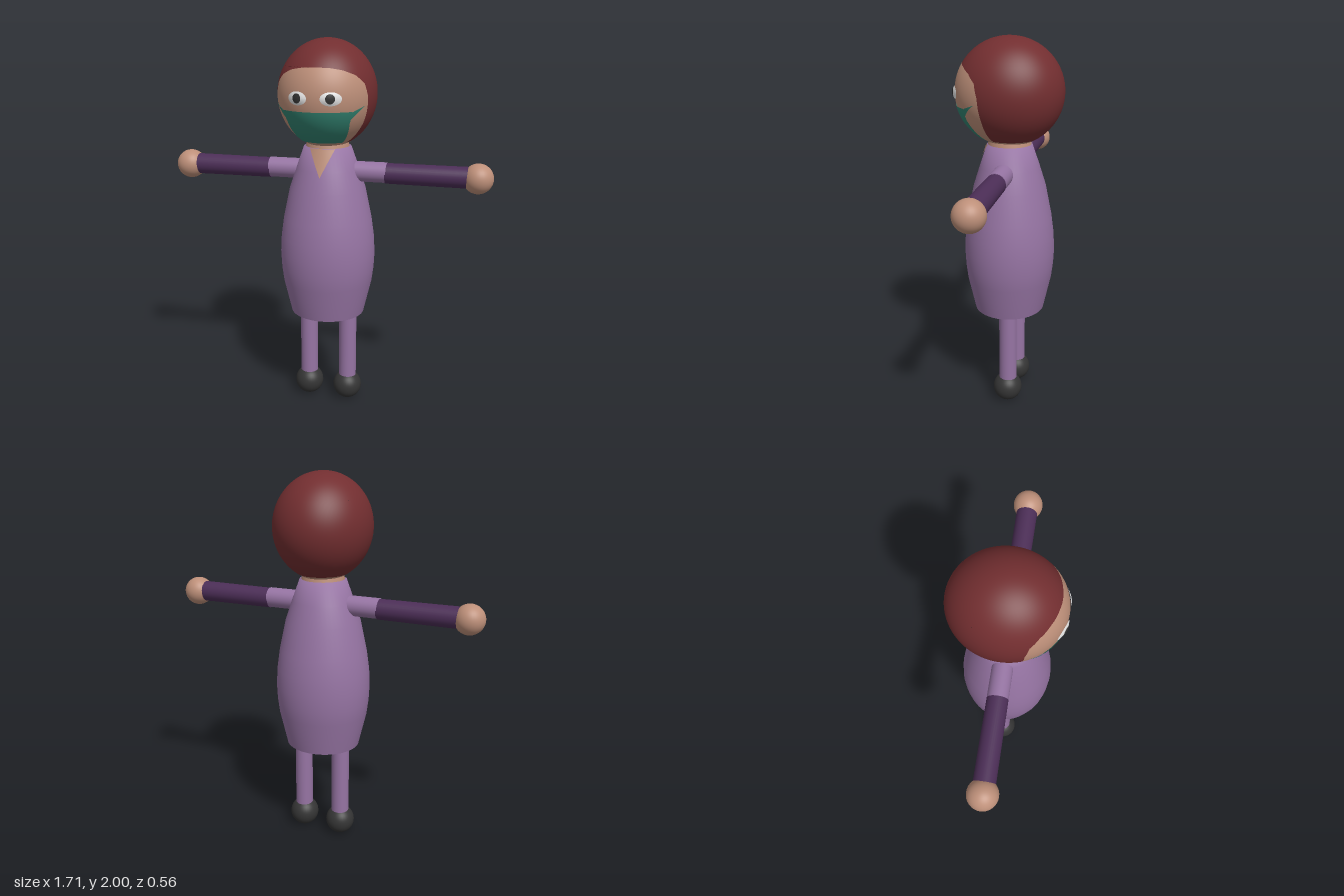
import * as THREE from 'three';

const mat = (name, color, side = THREE.FrontSide) => {
  const m = new THREE.MeshStandardMaterial({ color, side });
  m.name = name;
  return m;
};

// Head ellipsoid: centre height and radii
const HY = 1.725, RX = 0.253, RY = 0.275, RZ = 0.28;

// Linear interpolation in a list of [key, value] pairs with falling keys
function lookup(table, y) {
  for (let i = 1; i < table.length; i++) {
    const [y0, v0] = table[i - 1], [y1, v1] = table[i];
    if (y >= y1) return v0 + (v1 - v0) * Math.min(1, Math.max(0, (y0 - y) / (y0 - y1)));
  }
  return table[table.length - 1][1];
}

// Piece of the head between two heights and two azimuths (0 = front, + = left)
function headPatch(yTop, yBottom, from, to, rows, cols, scale = 1) {
  const pos = [], nor = [], idx = [];
  const t0 = Math.acos(Math.min(1, (yTop - HY) / RY));
  const t1 = Math.acos(Math.max(-1, (yBottom - HY) / RY));
  for (let i = 0; i <= rows; i++) {
    const t = t0 + (t1 - t0) * (i / rows) ** 1.5;
    const y = HY + RY * Math.cos(t), s = Math.sin(t);
    for (let j = 0; j <= cols; j++) {
      const a = from(y) + (to(y) - from(y)) * j / cols;
      const n = new THREE.Vector3(s * Math.sin(a) / RX, Math.cos(t) / RY, s * Math.cos(a) / RZ).normalize();
      pos.push(RX * s * Math.sin(a) * scale, HY + (y - HY) * scale, RZ * s * Math.cos(a) * scale);
      nor.push(n.x, n.y, n.z);
      if (i < rows && j < cols) {
        const p = i * (cols + 1) + j, q = p + cols + 1;
        idx.push(p, q, p + 1, q, q + 1, p + 1);
      }
    }
  }
  const g = new THREE.BufferGeometry();
  g.setAttribute('position', new THREE.Float32BufferAttribute(pos, 3));
  g.setAttribute('normal', new THREE.Float32BufferAttribute(nor, 3));
  g.setIndex(idx);
  return g;
}

// Slightly bulging oval laid on the front of the head
function eyePatch(cx, cy, rx, ry, lift, bulge) {
  const g = new THREE.RingGeometry(0, 1, 32, 5), p = g.attributes.position;
  for (let i = 0; i < p.count; i++) {
    const u = p.getX(i), v = p.getY(i), x = cx + u * rx, y = cy + v * ry;
    const z = RZ * Math.sqrt(1 - (x / RX) ** 2 - ((y - HY) / RY) ** 2);
    p.setXYZ(i, x, y, z + lift + bulge * (1 - u * u - v * v));
  }
  g.computeVertexNormals();
  return g;
}

export function createModel() {
  const root = new THREE.Group();
  const skin = mat('skin', 0xbd8f79), hair = mat('hair', 0x722e30);
  const dress = mat('dress purple', 0x9674a3), sleeve = mat('sleeve purple', 0x4c2e57);
  const teal = mat('mask teal', 0x328270, THREE.DoubleSide), white = mat('eye white', 0xe4e4e4);
  const dark = mat('dark grey', 0x343434), under = mat('underside grey', 0x808080);
  const add = (name, geo, material, x = 0, y = 0, z = 0) => {
    const m = new THREE.Mesh(geo, material);
    m.name = name;
    m.position.set(x, y, z);
    root.add(m);
    return m;
  };

  // Head: crown, side and back hair, face and chin
  const hairline = [[1.868, 0], [1.866, 0.3], [1.855, 0.6], [1.83, 0.885], [1.79, 1.085],
    [1.72, 1.167], [1.6, 1.187], [1.487, 1.145]];
  const edge = y => lookup(hairline, y), TAU = Math.PI * 2;
  add('hairCrown', headPatch(2, 1.868, () => 0, () => TAU, 20, 64), hair);
  add('hairBack', headPatch(1.868, 1.487, edge, y => TAU - edge(y), 60, 48), hair);
  add('face', headPatch(1.868, 1.487, y => -edge(y), edge, 60, 32), skin);
  add('chin', headPatch(1.487, 1.45, () => 0, () => TAU, 10, 64), skin);
  add('neck', new THREE.CylinderGeometry(0.105, 0.118, 0.07, 40), skin, 0, 1.465, 0);

  // Face mask with a short pointed strap on each side
  const half = y => lookup([[1.66, 0.78], [1.6, 0.76], [1.495, 0.85]], y);
  add('mask', headPatch(1.66, 1.495, y => -half(y), half, 16, 32, 1.012), teal);
  const inner = y => lookup([[1.685, 1.08], [1.657, 0.76], [1.62, 0.75]], y);
  const outer = y => lookup([[1.685, 1.08], [1.655, 0.92], [1.62, 0.76]], y);
  add('maskStrapLeft', headPatch(1.685, 1.62, inner, outer, 10, 6, 1.012), teal);
  add('maskStrapRight', headPatch(1.685, 1.62, y => -outer(y), y => -inner(y), 10, 6, 1.012), teal);

  // Dress: flattened lathe with a grey underside
  const profile = [[1.457, 0.124], [1.34, 0.166], [1.235, 0.201], [1.07, 0.236], [0.97, 0.25],
    [0.88, 0.255], [0.8, 0.251], [0.72, 0.241], [0.54, 0.199]];
  const FLAT = 0.945;
  const pts = profile.map(([y, r]) => new THREE.Vector2(r, y)).reverse();
  pts.push(new THREE.Vector2(0, 1.457));
  const body = new THREE.LatheGeometry(pts, 48);
  body.scale(1, 1, FLAT);
  add('dress', body, dress);
  const hem = new THREE.CircleGeometry(0.199, 48);
  hem.rotateX(Math.PI / 2);
  hem.scale(1, 1, FLAT);
  add('dressUnderside', hem, under, 0, 0.541, 0);

  // V-shaped neckline following the chest
  const neckline = new THREE.PlaneGeometry(2, 1, 10, 12), np = neckline.attributes.position;
  for (let i = 0; i < np.count; i++) {
    const t = np.getY(i) + 0.5, y = 1.315 + 0.142 * t, x = np.getX(i) * 0.066 * t;
    const r = lookup(profile, y);
    np.setXYZ(i, x, y, FLAT * Math.sqrt(r * r - x * x) + 0.004);
  }
  neckline.computeVertexNormals();
  add('neckline', neckline, skin);

  // Mirrored eyes, arms, hands, legs and shoes
  for (const [side, s] of [['Left', 1], ['Right', -1]]) {
    add('eye' + side, eyePatch(s * 0.083, 1.724, 0.05, 0.033, 0.003, 0.008), white);
    add('iris' + side, eyePatch(s * 0.083, 1.725, 0.022, 0.024, 0.011, 0.003), dark);

    const upper = add('upperArm' + side, new THREE.CylinderGeometry(0.053, 0.053, 0.23, 32), dress, s * 0.2, 1.328, 0);
    const lower = add('sleeve' + side, new THREE.CylinderGeometry(0.055, 0.053, 0.44, 32), sleeve, s * 0.53, 1.325, 0);
    upper.rotation.z = lower.rotation.z = -s * Math.PI / 2;
    add('hand' + side, new THREE.SphereGeometry(0.077, 32, 24), skin, s * 0.777, 1.322, 0);

    add('leg' + side, new THREE.CylinderGeometry(0.048, 0.048, 0.5, 32), dress, s * 0.112, 0.36, -0.015);
    add('shoe' + side, new THREE.SphereGeometry(0.079, 32, 24), dark, s * 0.112, 0.079, -0.013);
  }
  return root;
}
